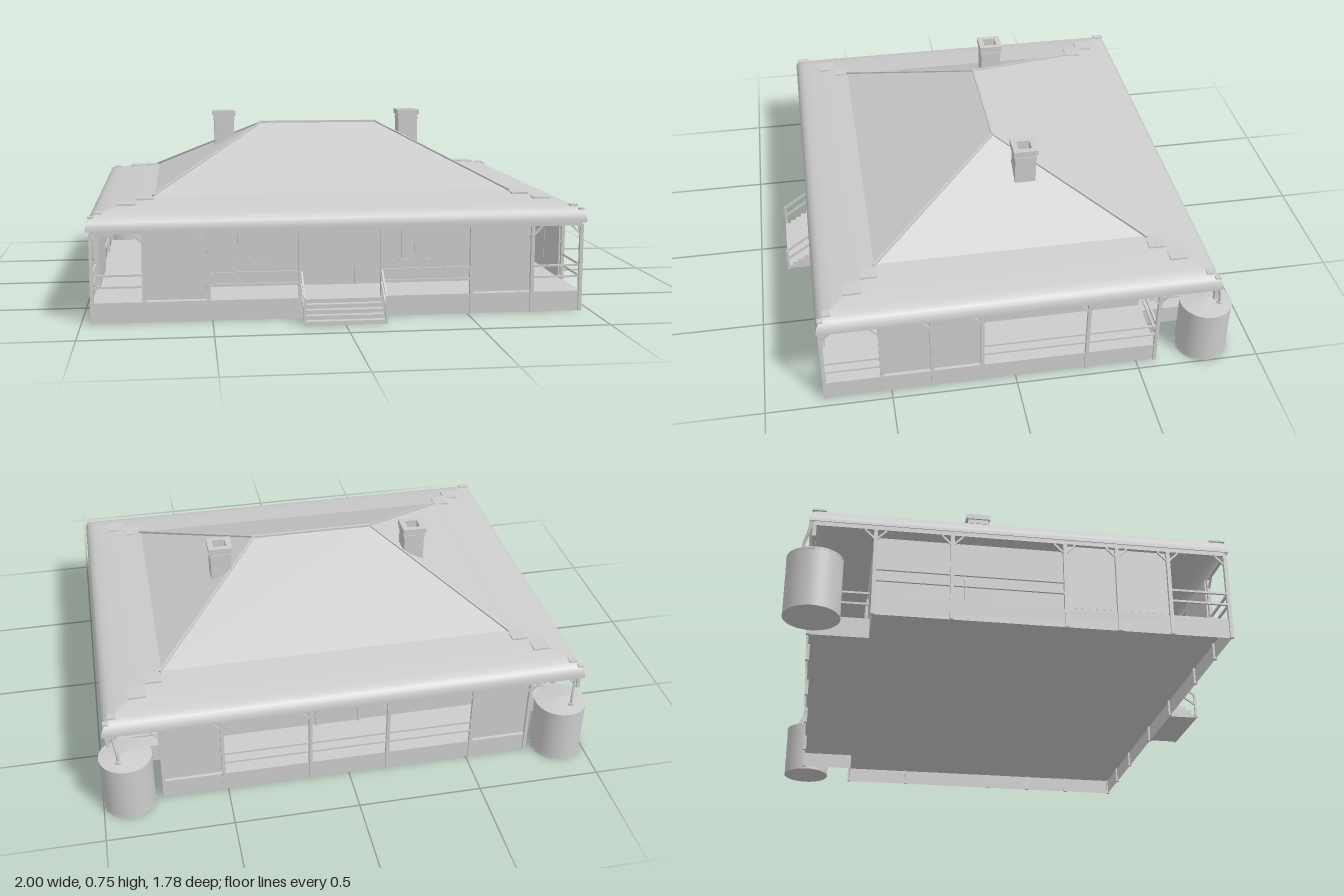
import * as THREE from 'three';

export function createModel() {
  const model = new THREE.Group();
  const grey = new THREE.MeshStandardMaterial({ color: 0xcccccc, side: THREE.DoubleSide });
  grey.name = 'plain grey';
  const ZC = -0.023; // middle of the roof
  const FRONT = 0.762, BACK = -0.8, SIDE = 0.957, NX = 0.755, NZ = -0.575, DECK = 0.08, TOP = 0.35;
  const WALL = 0.72, WF = 0.53, WB = -0.57; // house walls

  const add = (name, geo, x = 0, y = 0, z = 0) => {
    const m = new THREE.Mesh(geo, grey);
    m.name = name;
    m.position.set(x, y, z);
    model.add(m);
    return m;
  };
  // box given by its extents
  const box = (name, x0, x1, y0, y1, z0, z1) =>
    add(name, new THREE.BoxGeometry(x1 - x0, y1 - y0, z1 - z0), (x0 + x1) / 2, (y0 + y1) / 2, (z0 + z1) / 2);
  // square bar between two points
  const bar = (name, a, b, t = 0.008) => {
    const p = new THREE.Vector3(...a), q = new THREE.Vector3(...b);
    const m = add(name, new THREE.BoxGeometry(t, t, p.distanceTo(q)));
    m.position.copy(p).add(q).multiplyScalar(0.5);
    m.lookAt(q);
    return m;
  };
  // four roof slopes through rectangular rings [halfX, halfZ, y]
  const hipped = (name, rings) => {
    const corners = [[-1, 1], [1, 1], [1, -1], [-1, -1]];
    corners.forEach((a, k) => {
      const b = corners[(k + 1) % 4], pos = [], idx = [];
      rings.forEach(([hx, hz, y], i) => {
        pos.push(a[0] * hx, y, ZC + a[1] * hz, b[0] * hx, y, ZC + b[1] * hz);
        if (i) {
          const j = 2 * i - 2;
          idx.push(j, j + 1, j + 3, j, j + 3, j + 2);
        }
      });
      const g = new THREE.BufferGeometry();
      g.setAttribute('position', new THREE.Float32BufferAttribute(pos, 3));
      g.setIndex(idx);
      g.computeVertexNormals();
      add(name, g);
    });
  };

  // floor slab with the two back corners cut out for the tanks, on a hollow skirt
  const outline = [[-SIDE, FRONT], [SIDE, FRONT], [SIDE, NZ], [NX, NZ], [NX, BACK], [-NX, BACK], [-NX, NZ], [-SIDE, NZ]];
  const plan = new THREE.Shape(outline.map(([x, z]) => new THREE.Vector2(x, -z)));
  add('floor', new THREE.ExtrudeGeometry(plan, { depth: 0.013, bevelEnabled: false }).rotateX(-Math.PI / 2), 0, DECK - 0.013);
  outline.forEach(([x, z], i) => {
    const [u, w] = outline[(i + 1) % outline.length];
    const skirt = add('baseSkirt', new THREE.PlaneGeometry(Math.hypot(u - x, w - z), 0.068), (x + u) / 2, 0.034, (z + w) / 2);
    skirt.rotation.y = Math.atan2(z - w, u - x);
  });

  // house body
  box('houseWalls', -WALL, WALL, DECK, 0.45, WB, WF);

  // bullnose verandah roof and main hipped roof
  const bullnose = [[0.26, 0.357], [0.26, 0.372], [0.255, 0.39], [0.244, 0.405], [0.225, 0.417], [0.19, 0.426], [0.11, 0.44], [0, 0.456]];
  hipped('verandahRoof', bullnose.map(([d, y]) => [0.715 + d, 0.537 + d, y]));
  hipped('mainRoof', [[0.718, 0.55, 0.457], [0.255, 0, 0.7]]);
  bar('ridgeCap', [-0.26, 0.7, ZC], [0.26, 0.7, ZC], 0.012);
  for (const s of [-1, 1]) for (const t of [-1, 1]) {
    bar('hipCap', [s * 0.255, 0.7, ZC], [s * 0.725, 0.457, ZC + t * 0.553], 0.009);
    // flat capping plates down the verandah hips
    for (const [d, y, w] of [[0.03, 0.451, 0.066], [0.1, 0.441, 0.07], [0.205, 0.422, 0.03], [0.23, 0.41, 0.022]])
      add('hipPlate', new THREE.BoxGeometry(w, 0.007, w), s * (0.725 + d), y, ZC + t * (0.547 + d));
  }

  // chimneys with open flues
  const square = (h) => [[-h, -h], [h, -h], [h, h], [-h, h]].map(([x, y]) => new THREE.Vector2(x, y));
  for (const s of [-1, 1]) {
    const ring = (name, h, y, depth) => {
      const shape = new THREE.Shape(square(h));
      shape.holes.push(new THREE.Path(square(0.027)));
      add(name, new THREE.ExtrudeGeometry(shape, { depth, bevelEnabled: false }).rotateX(-Math.PI / 2), s * 0.418, y, -0.123);
    };
    ring('chimneyShaft', 0.043, 0.58, 0.155);
    ring('chimneyBand', 0.046, 0.705, 0.01);
    ring('chimneyTop', 0.05, 0.725, 0.022);
    box('flueFloor', s * 0.418 - 0.03, s * 0.418 + 0.03, 0.7, 0.705, -0.153, -0.093);
  }

  // beams under the eaves
  const beam = 0.006;
  for (const z of [FRONT, BACK]) box('eaveBeam', -SIDE, SIDE, 0.345, 0.362, z - beam, z + beam);
  for (const s of [-1, 1]) box('eaveBeam', s * SIDE - beam, s * SIDE + beam, 0.345, 0.362, BACK, FRONT);

  // posts with diagonal braces along the given direction
  const post = (x, z, dx, dz, y0 = 0) => {
    box('verandahPost', x - 0.007, x + 0.007, y0, TOP, z - 0.007, z + 0.007);
    for (const k of [-1, 1]) {
      const px = x + k * dx * 0.04, pz = z + k * dz * 0.04;
      if (Math.abs(px) < 0.965 && pz < 0.77 && pz > -0.81)
        bar('postBrace', [x, 0.305, z], [px, 0.345, pz], 0.007);
    }
  };
  // pair of rails between two points
  const rails = (x0, z0, x1, z1) => {
    for (const y of [0.14, 0.185]) bar('railing', [x0, y, z0], [x1, y, z1]);
  };
  const sideZ = [0.535, 0.335, 0.135, -0.29, NZ];
  for (const s of [-1, 1]) {
    for (const x of [0.76, 0.515, 0.16]) {
      post(s * x, FRONT, 1, 0);
      post(s * (x === 0.76 ? NX : x), BACK, 1, 0);
    }
    post(s * SIDE, FRONT, 1, 0);
    bar('postBrace', [s * SIDE, 0.305, FRONT], [s * SIDE, 0.345, FRONT - 0.04], 0.007);
    for (const z of sideZ) post(s * SIDE, z, 0, 1);
    post(s * SIDE, BACK, 1, 0, 0.3);

    rails(s * SIDE, FRONT, s * 0.76, FRONT);
    rails(s * 0.515, FRONT, s * 0.16, FRONT);
    rails(s * 0.515, BACK, s * 0.16, BACK);
    rails(s * SIDE, FRONT, s * SIDE, 0.535);
    rails(s * SIDE, 0.135, s * SIDE, NZ);
    rails(s * SIDE, NZ, s * NX, NZ);
    rails(s * NX, NZ, s * NX, BACK);

    // screens set just behind the posts
    for (const z of [FRONT - 0.012, BACK + 0.012])
      box('verandahScreen', s > 0 ? 0.515 : -0.758, s > 0 ? 0.758 : -0.515, 0.085, 0.345, z - 0.003, z + 0.003);
    const sx = s * (SIDE - 0.012);
    for (const z of [0.137, 0.337])
      box('verandahScreen', sx - 0.003, sx + 0.003, 0.085, 0.345, z, z + 0.196);
  }
  rails(-0.16, BACK, 0.16, BACK);

  // windows and doors
  for (const s of [-1, 1]) {
    for (const [z, d] of [[WF, 1], [WB, -1]]) {
      const front = z + d * 0.004;
      box('window', s * 0.335 - 0.058, s * 0.335 + 0.058, 0.18, 0.345, front - 0.0045, front + 0.0045);
      bar('windowSill', [s * 0.335 - 0.068, 0.175, z + d * 0.006], [s * 0.335 + 0.068, 0.175, z + d * 0.006], 0.01);
      bar('windowBar', [s * 0.335, 0.18, front + d * 0.004], [s * 0.335, 0.345, front + d * 0.004], 0.006);
    }
    const wx = s * (WALL + 0.004);
    box('sideWindow', wx - 0.0045, wx + 0.0045, 0.18, 0.345, -0.215, -0.1);
    bar('windowSill', [wx, 0.178, -0.225], [wx, 0.178, -0.085], 0.01);
  }
  for (const z of [WF, WB]) {
    box('door', -0.085, 0.085, DECK, 0.305, z - 0.004, z + 0.004);
    box('doorTransom', -0.085, 0.085, 0.312, 0.34, z - 0.004, z + 0.004);
    for (const s of [-1, 1]) box('doorFrame', s * 0.09 - 0.005, s * 0.09 + 0.005, DECK, 0.345, z - 0.012, z + 0.012);
    box('doorHead', -0.085, 0.085, 0.304, 0.313, z - 0.012, z + 0.012);
  }

  // front steps and handrails
  for (let i = 0; i < 5; i++)
    box('step', -0.152, 0.152, 0, 0.016 * (i + 1), FRONT, 0.885 - i * 0.0245);
  for (const s of [-1, 1]) {
    const x = s * 0.157;
    bar('stairPost', [x, 0, 0.88], [x, 0.107, 0.88], 0.009);
    bar('stairRail', [x, 0.103, 0.882], [x, 0.187, FRONT]);
    bar('stairRail', [x, 0.058, 0.882], [x, 0.14, FRONT]);
  }

  // rainwater tanks with downpipes
  for (const s of [-1, 1]) {
    const x = s * 0.895, z = -0.79;
    add('tank', new THREE.CylinderGeometry(0.104, 0.104, 0.235, 32), x, 0.1175, z);
    add('tankLid', new THREE.ConeGeometry(0.104, 0.016, 32), x, 0.243, z);
    for (const y of [0.004, 0.231])
      add('tankRim', new THREE.CylinderGeometry(0.105, 0.105, 0.008, 32), x, y, z);
    const path = new THREE.CatmullRomCurve3([[0.935, 0.375, -0.812], [0.933, 0.33, -0.82], [0.925, 0.29, -0.833], [0.923, 0.238, -0.838]]
      .map(([a, b, c]) => new THREE.Vector3(s * a, b, c)));
    add('downpipe', new THREE.TubeGeometry(path, 12, 0.006, 8));
    add('pipeCollar', new THREE.CylinderGeometry(0.012, 0.012, 0.012, 12), s * 0.923, 0.243, -0.838);
  }
  return model;
}
